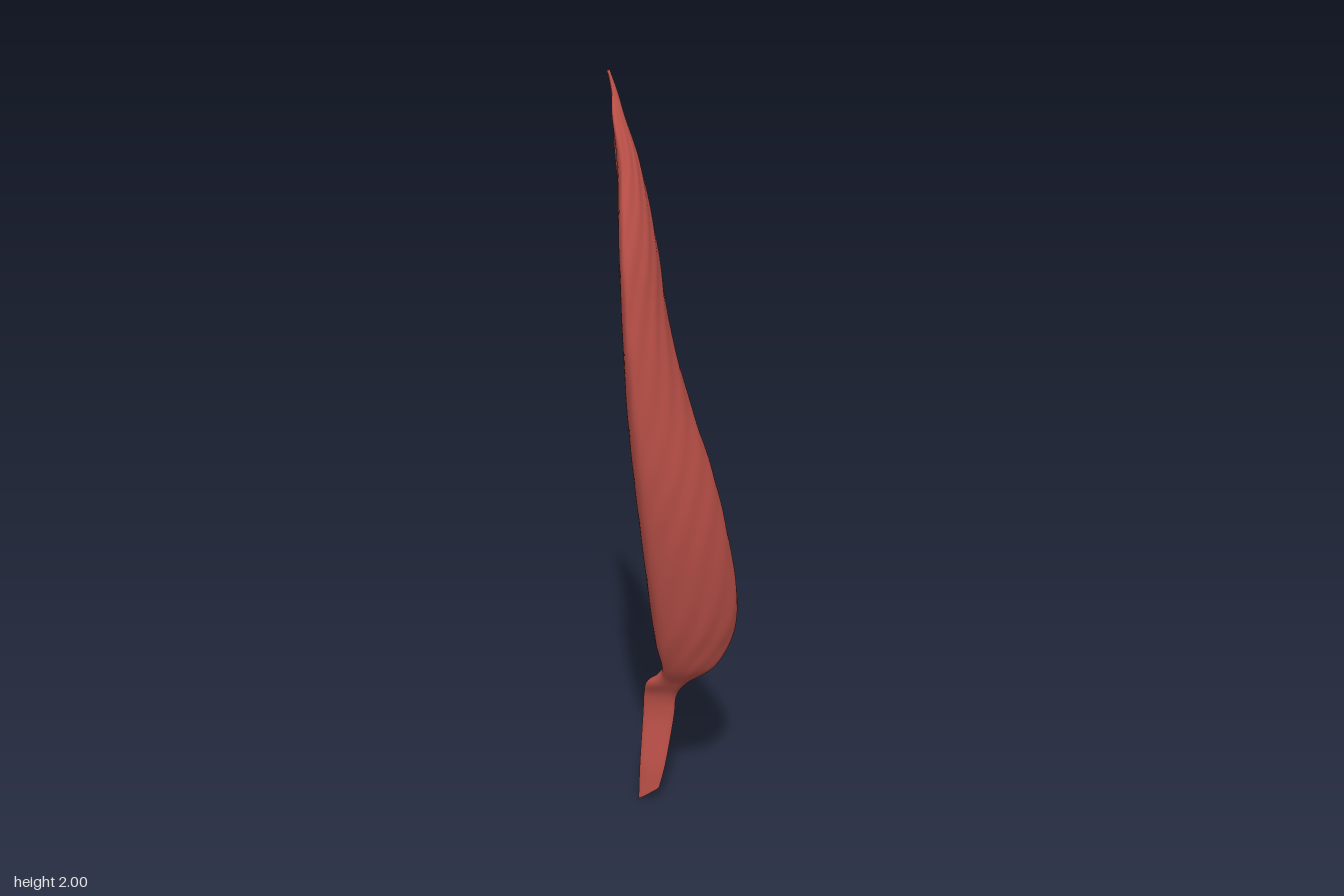
import * as THREE from 'three';

const V2 = (x, z) => new THREE.Vector2(x, z);

// Point part way from p to q, pushed outward by a share of the span
function between(p, q, t, bulge) {
  const d = q.clone().sub(p);
  return V2(p.x + d.x * t - d.y * bulge, p.y + d.y * t + d.x * bulge);
}

// Fleshy section: three corners, rounded outer sides and a hollow back that fills out lower down
function belly(y, frontX, frontZ, rightX, rightZ, backX, backZ) {
  const front = V2(frontX, frontZ), right = V2(rightX, rightZ), back = V2(backX, backZ);
  const fill = Math.max(0.05, 0.38 - 0.2 * y);
  const ring = [
    front, between(front, right, 0.5, 0.17),
    right, between(right, back, 0.5, 0.15),
    back, between(back, front, 0.35, fill * 0.4 - 0.04), between(back, front, 0.64, fill),
  ];
  return ring.map((p) => new THREE.Vector3(p.x, y, p.y));
}

// Thin oval section; slope raises its right end
function strap(y, x0, x1, z, thick, slope = 0) {
  return Array.from({ length: 7 }, (_, k) => {
    const a = Math.PI / 2 - (k / 7) * Math.PI * 2;
    const u = 0.5 + 0.51 * Math.cos(a);
    return new THREE.Vector3(x0 + (x1 - x0) * u, y + slope * u, z + thick * Math.sin(a));
  });
}

// Sections from the tip down to the frayed tendon end
const sections = [
  strap(2, -0.171, -0.163, -0.062, 0.004),
  belly(1.95, -0.152, -0.036, -0.142, -0.052, -0.163, -0.08),
  belly(1.9, -0.14, 0, -0.12, -0.025, -0.16, -0.075),
  belly(1.8, -0.11, 0.05, -0.078, 0, -0.152, -0.062),
  belly(1.6, -0.085, 0.14, -0.027, 0.03, -0.13, -0.065),
  belly(1.4, -0.07, 0.165, 0.01, 0.06, -0.095, -0.06),
  belly(1.2, -0.055, 0.165, 0.06, 0.05, -0.07, -0.065),
  belly(1, -0.04, 0.15, 0.118, 0.03, -0.032, -0.078),
  belly(0.8, -0.03, 0.115, 0.155, 0, 0.02, -0.12),
  belly(0.6, -0.02, 0.065, 0.168, -0.05, 0.055, -0.165),
  belly(0.5, -0.02, 0.03, 0.15, -0.065, 0.055, -0.15),
  belly(0.42, -0.02, -0.01, 0.108, -0.06, 0.04, -0.105),
  strap(0.36, -0.075, 0.03, -0.06, 0.014),
  strap(0.31, -0.09, 0, -0.08, 0.009),
  strap(0.25, -0.094, -0.007, -0.084, 0.008),
  strap(0.1, -0.098, -0.028, -0.058, 0.006),
  strap(0, -0.1, -0.042, -0.05, 0.003, 0.04),
];

// Smooth lengthways rails, then a smooth closed ring at each step
function loft(rows, cols) {
  const rails = sections[0].map((_, k) => new THREE.CatmullRomCurve3(sections.map((s) => s[k])));
  const pos = [], index = [], centres = [];
  for (let i = 0; i <= rows; i++) {
    const ctrl = rails.map((r) => r.getPoint(i / rows));
    const centre = ctrl.reduce((s, p) => s.add(p), new THREE.Vector3()).divideScalar(ctrl.length);
    const ring = new THREE.CatmullRomCurve3(ctrl, true, 'centripetal');
    centres.push(centre);
    for (let j = 0; j < cols; j++) {
      const u = j / cols;
      const p = ring.getPoint(u);
      // Slanting fibre ridges on the outer face, fading out on the tendon and tip
      const fade = THREE.MathUtils.smoothstep(p.y, 0.35, 0.55) * (1 - THREE.MathUtils.smoothstep(p.y, 1.75, 1.95));
      const outer = Math.max(0, Math.sin((u + 0.12) * Math.PI * 2));
      const ripple = Math.sin(u * 75 - p.y * 38 + Math.sin(p.y * 9)) * 0.0016 * fade * outer;
      const out = p.clone().sub(centre).setY(0).normalize();
      p.addScaledVector(out, ripple);
      pos.push(p.x, p.y, p.z);
    }
  }
  for (let i = 0; i < rows; i++) {
    for (let j = 0; j < cols; j++) {
      const n = (j + 1) % cols;
      const a = i * cols + j, b = a + cols, c = (i + 1) * cols + n, d = i * cols + n;
      index.push(a, b, c, a, c, d);
    }
  }
  // Closed ends
  const top = pos.length / 3, bottom = top + 1, last = rows * cols;
  pos.push(...centres[0].toArray(), ...centres[rows].toArray());
  for (let j = 0; j < cols; j++) {
    const n = (j + 1) % cols;
    index.push(top, j, n, bottom, last + n, last + j);
  }
  const geo = new THREE.BufferGeometry();
  geo.setAttribute('position', new THREE.Float32BufferAttribute(pos, 3));
  geo.setIndex(index);
  geo.computeVertexNormals();
  return geo;
}

export function createModel() {
  const muscleRed = new THREE.MeshStandardMaterial({ color: 0xb84f47 });
  muscleRed.name = 'muscleRed';
  const group = new THREE.Group();
  group.name = 'muscle';
  const body = new THREE.Mesh(loft(180, 84), muscleRed);
  body.name = 'muscleBellyAndTendon';
  group.add(body);
  return group;
}
